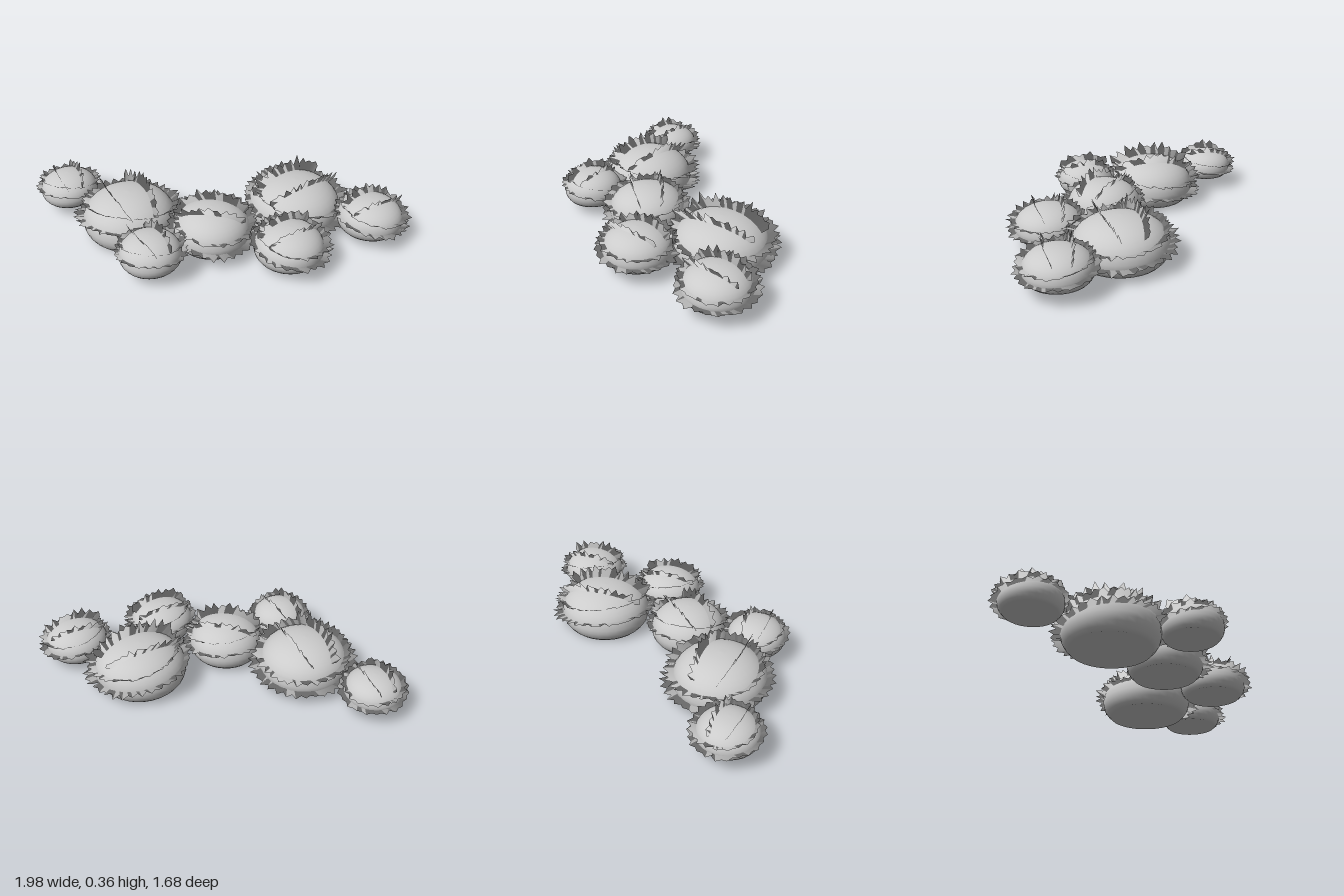
import * as THREE from 'three';

// x, z, radius, base height, top height, heading of the crest tufts
const BUSHES = [
  ['backBush', -0.78, -0.625, 0.18, 0.07, 0.25, -Math.PI / 2 + 0.05],
  ['largeRightBush', -0.545, -0.175, 0.285, 0.0, 0.29, -Math.PI / 2],
  ['smallRightBush', -0.6, 0.275, 0.183, 0.07, 0.265, -Math.PI / 2 - 0.1],
  ['middleBush', -0.165, 0.2, 0.235, 0.03, 0.28, 0.65],
  ['largeLeftBush', 0.435, 0.18, 0.29, 0.0, 0.285, -0.15],
  ['frontBush', 0.148, 0.575, 0.207, 0.05, 0.262, -0.1],
  ['smallLeftBush', 0.745, 0.56, 0.2, 0.06, 0.262, -0.05],
];
const POWER = 2.15, WAIST = 0.35;
const LOW_SIDE = Math.PI / 4; // the leaf rings dip towards this angle

let seed;
function rand() {
  seed = (seed * 16807) % 2147483647;
  return seed / 2147483647;
}

// radius (0..1) of the mound at relative height v
function radiusAt(v) {
  if (v < WAIST) return 1 - 0.17 * ((WAIST - v) / WAIST) ** 2.4;
  return Math.pow(1 - ((v - WAIST) / (1 - WAIST)) ** POWER, 1 / POWER);
}
// relative height of the mound above a point at radius p
function heightAt(p) {
  return WAIST + (1 - WAIST) * Math.pow(Math.max(0, 1 - p ** POWER), 1 / POWER);
}

// domed body with a shallow hollow underneath
function mound(r, h) {
  const pts = [[0, 0.1], [0.3, 0.085], [0.6, 0.04]];
  for (const v of [0, 0.07, 0.16, 0.26, WAIST]) pts.push([radiusAt(v), v]);
  for (let i = 1; i <= 10; i++) {
    const p = Math.cos((i / 10) * Math.PI / 2);
    pts.push(i === 10 ? [0, 1] : [p, heightAt(p)]);
  }
  return new THREE.LatheGeometry(pts.map(([p, v]) => new THREE.Vector2(p * r, v * h)), 32);
}

// serrated strip of leaves standing out of the mound along a path
function leafStrip(path, teeth, lengthAt, h) {
  const pos = [], nor = [], idx = [];
  const steps = teeth * 2;
  for (let i = 0; i <= steps; i++) {
    const p = path(i / steps);
    const length = lengthAt(i / steps);
    const n = new THREE.Vector3(p.x, Math.max(0, p.y - h * WAIST) * 1.4, p.z).normalize();
    const tip = i % 2 ? 0.75 + 0.42 * rand() : 0.4 + 0.25 * rand();
    const a = p.clone().addScaledVector(n, -0.02);
    const b = p.clone().addScaledVector(n, length * tip);
    b.y += (rand() - 0.5) * length * 0.3;
    pos.push(...a.toArray(), ...b.toArray());
    nor.push(...n.toArray(), ...n.toArray());
    if (i < steps) {
      const k = i * 2;
      idx.push(k, k + 1, k + 2, k + 1, k + 3, k + 2);
    }
  }
  const g = new THREE.BufferGeometry();
  g.setAttribute('position', new THREE.Float32BufferAttribute(pos, 3));
  g.setAttribute('normal', new THREE.Float32BufferAttribute(nor, 3));
  g.setIndex(idx);
  return g;
}

export function createModel() {
  seed = 7;
  const model = new THREE.Group();
  model.name = 'bushCluster';
  const solid = new THREE.MeshStandardMaterial({ color: 0xcccccc });
  const leaf = new THREE.MeshStandardMaterial({ color: 0xcccccc, side: THREE.DoubleSide });

  for (const [name, x, z, r, y0, y1, heading] of BUSHES) {
    const h = y1 - y0;
    const bush = new THREE.Group();
    bush.name = name;
    bush.position.set(x, y0, z);
    bush.rotation.y = -heading;
    const add = (part, geometry, material) => {
      const mesh = new THREE.Mesh(geometry, material);
      mesh.name = part;
      bush.add(mesh);
    };

    add('mound', mound(r, h), solid);

    // two rings of leaves around the sides, dipping and longer on one side
    for (const [level, tilt] of [[0.4, 0.16], [0.66, 0.14]]) {
      const dip = (t) => Math.cos(t * Math.PI * 2 - LOW_SIDE);
      const ring = (t) => {
        const a = t * Math.PI * 2;
        const v = level - tilt * dip(t);
        const p = radiusAt(v) * r;
        return new THREE.Vector3(Math.cos(a) * p, v * h, Math.sin(a) * p);
      };
      const length = (t) => r * (0.22 + 0.04 * dip(t));
      add('leafRing', leafStrip(ring, Math.round((Math.PI * 2 * r) / 0.05), length, h), leaf);
    }

    // two bowed crests of leaves over the top
    for (const side of [-1, 1]) {
      const crest = (t) => {
        const u = (t * 2 - 1) * 0.8;
        const w = side * (0.36 - 0.2 * u * u);
        return new THREE.Vector3(u * r, heightAt(Math.hypot(u, w)) * h, w * r);
      };
      add('leafCrest', leafStrip(crest, Math.round((r * 2) / 0.05), () => r * 0.28, h), leaf);
    }
    model.add(bush);
  }
  return model;
}
